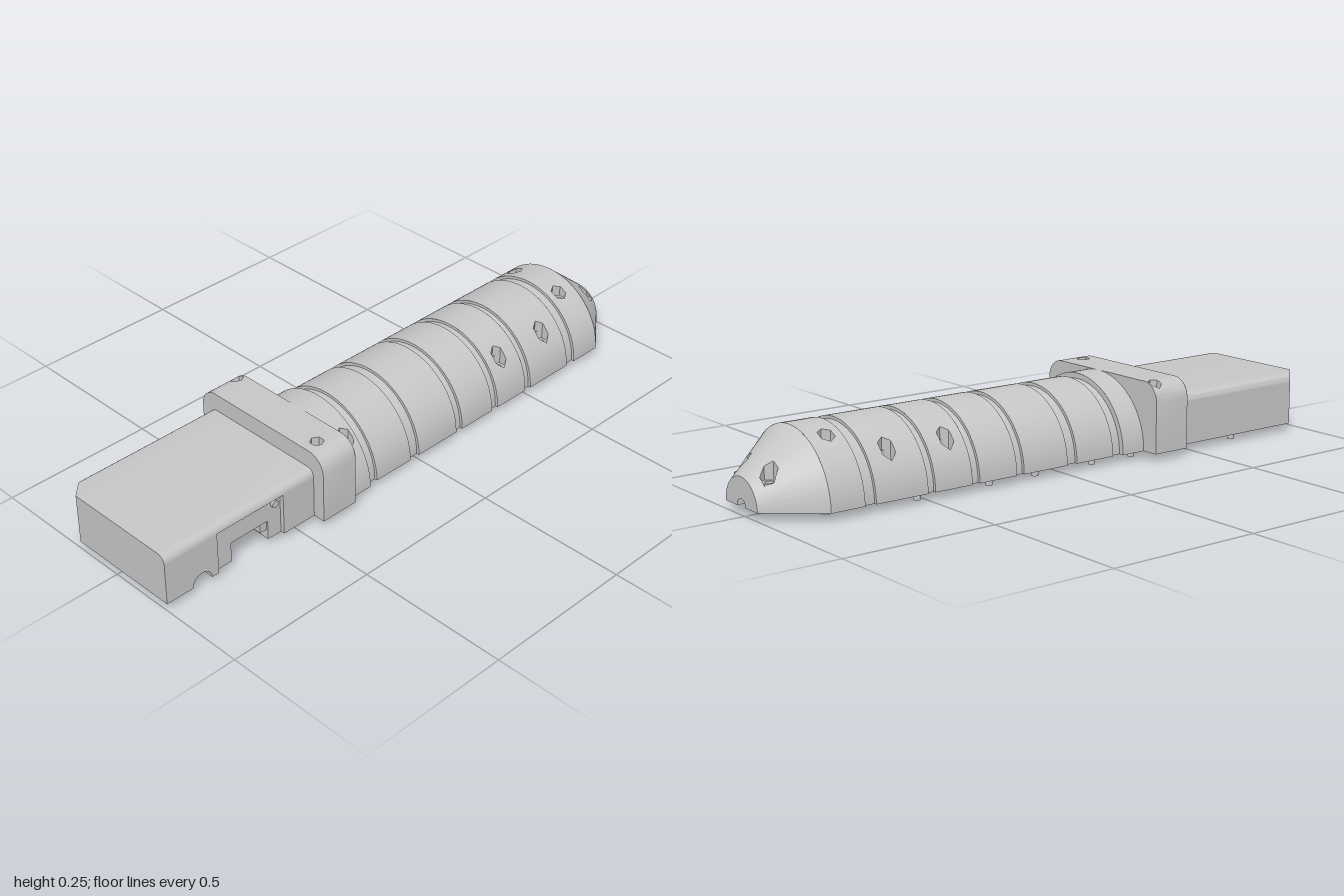
import * as THREE from 'three';
import { mergeGeometries, toCreasedNormals } from 'three/addons/utils/BufferGeometryUtils.js';

const Y0 = 0.0245, ZC = 0.017; // underside height and barrel axis
const lerp = THREE.MathUtils.lerp;

// surface through fn(s, t) -> [x, y, z]
function grid(ns, nt, fn) {
  const p = [];
  for (let i = 0; i < ns; i++) for (let j = 0; j < nt; j++) {
    const a = fn(i / ns, j / nt), b = fn((i + 1) / ns, j / nt);
    const c = fn((i + 1) / ns, (j + 1) / nt), d = fn(i / ns, (j + 1) / nt);
    p.push(...a, ...d, ...b, ...b, ...d, ...c);
  }
  const g = new THREE.BufferGeometry();
  g.setAttribute('position', new THREE.Float32BufferAttribute(p, 3));
  return g;
}

// one band of skin from x0 to x1 with vertical hexagonal screw pockets
function band(x0, x1, u0, u1, steps, point, toU, holes, margin, zc) {
  const out = [];
  let from = u0;
  const plain = (a, b) => out.push(grid(1, Math.max(1, Math.round(steps * (b - a) / (u1 - u0))),
    (s, t) => point(lerp(x0, x1, s), lerp(a, b, t), s)));
  for (const h of [...holes].sort((a, b) => a.z - b.z)) {
    const hex = (t) => {
      const a = t * Math.PI * 2, m = (a + Math.PI / 6) % (Math.PI / 3) - Math.PI / 6;
      const r = h.R * Math.cos(Math.PI / 6) / Math.cos(m);
      return [h.x + r * Math.cos(a), h.z + r * Math.sin(a)];
    };
    const edge = (t) => { const [x, z] = hex(t); return [x, toU(x, z)]; };
    const us = Array.from({ length: 24 }, (_, i) => edge(i / 24)[1]);
    const ua = Math.min(...us) - margin, ub = Math.max(...us) + margin, uc = toU(h.x, h.z);
    plain(from, ua);
    from = ub;
    const rim = (t) => {
      const c = Math.cos(t * Math.PI * 2), s = Math.sin(t * Math.PI * 2), m = Math.max(Math.abs(c), Math.abs(s));
      return [h.x + c / m * (c > 0 ? x1 - h.x : h.x - x0), uc + s / m * (s > 0 ? ub - uc : uc - ua)];
    };
    out.push(grid(4, 24, (k, t) => {
      const e = edge(t), o = rim(t);
      return point(lerp(e[0], o[0], k), lerp(e[1], o[1], k));
    }));
    // pocket wall, floor ring and through hole
    const ring = (t, y) => [h.x + 0.0135 * Math.cos(t * Math.PI * 2), y, zc + h.z + 0.0135 * Math.sin(t * Math.PI * 2)];
    const low = (t) => { const [x, z] = hex(t); return [x, h.floor, zc + z]; };
    const mix = (a, b, k) => a.map((v, i) => lerp(v, b[i], k));
    out.push(grid(1, 24, (k, t) => mix(low(t), point(...edge(t)), k)));
    out.push(grid(1, 24, (k, t) => mix(ring(t, h.floor), low(t), k)));
    out.push(grid(1, 24, (k, t) => ring(t, k ? h.floor : Y0)));
  }
  plain(from, u1);
  return out;
}

const poly = (pts) => new THREE.Shape(pts.map(([a, b]) => new THREE.Vector2(a, b)));
const circle = (x, z, r) => new THREE.Path().absarc(x, z, r, 0, Math.PI * 2, true);
const rect = (x0, x1, z0, z1) => poly([[x0, z0], [x1, z0], [x1, z1], [x0, z1]]);
// mirrored outline from [x, half width] pairs
const mirrored = (pts) => poly([...pts, ...[...pts].reverse().map(([x, w]) => [x, -w])]);

// plan shape (x, z) made into a slab standing on height y
function slab(shape, y, h, zc = 0) {
  const g = new THREE.ExtrudeGeometry(shape, { depth: h, bevelEnabled: false, curveSegments: 24 });
  return g.rotateX(Math.PI / 2).translate(0, y + h, zc);
}

export function createModel() {
  const group = new THREE.Group();
  const grey = new THREE.MeshStandardMaterial({ color: 0xc6c6c6, side: THREE.DoubleSide });
  grey.name = 'plain grey';
  const add = (name, g) => { const m = new THREE.Mesh(g, grey); m.name = name; group.add(m); };

  // barrel profile: collar, ribs between grooves, tapered nose
  const R = 0.2155, G = 0.206, TIP = 0.088;
  const profile = [[-0.31, 0.2235], [-0.225, 0.2235], [-0.225, G], [-0.19, G], [-0.19, R]];
  for (const [a, b] of [[-0.045, -0.008], [0.16, 0.187], [0.325, 0.352], [0.485, 0.51], [0.69, 0.727]])
    profile.push([a, R], [a, G], [b, G], [b, R]);
  profile.push([0.84, R], [1, TIP]);

  const hole = (x, z, floor, r = 0.026) => ({ x, z, floor, R: r });
  const holes = [hole(-0.26, 0.153, 0.15)];
  for (const s of [-1, 1])
    holes.push(hole(0.41, 0.16 * s, 0.125), hole(0.615, 0.16 * s, 0.125), hole(0.775, 0.095 * s, 0.19), hole(0.95, 0.072 * s, 0.103));

  const skin = [];
  for (let i = 0; i + 1 < profile.length; i++) {
    const [x0, r0] = profile[i], [x1, r1] = profile[i + 1];
    const rad = (x, s) => x1 === x0 ? lerp(r0, r1, s) : lerp(r0, r1, (x - x0) / (x1 - x0));
    const point = (x, u, s) => [x, Y0 + rad(x, s) * Math.cos(u), ZC + rad(x, s) * Math.sin(u)];
    const toU = (x, z) => Math.asin(THREE.MathUtils.clamp(z / rad(x, 0), -1, 1));
    skin.push(...band(x0, x1, -Math.PI / 2, Math.PI / 2, 48, point, toU,
      holes.filter((h) => h.x > x0 && h.x < x1), 0.06, ZC));
  }
  add('barrelShell', toCreasedNormals(mergeGeometries(skin), 0.5));

  // nose cap with a half-round outlet
  const cap = new THREE.Shape().absarc(0, 0, TIP, 0, Math.PI, false);
  cap.lineTo(-0.023, 0);
  cap.absarc(0, 0, 0.023, Math.PI, 0, true);
  add('noseCap', new THREE.ShapeGeometry(cap, 32).rotateY(Math.PI / 2).translate(1, Y0, ZC));

  // underside plate of the barrel with cavities
  const DEEP = 0.055;
  const under = mirrored([...profile, [1, 0.023], [0.9, 0.023]]);
  under.holes.push(rect(-0.2, 0.22, -0.138, 0.138),
    mirrored([[0.26, 0.115], [0.72, 0.115], [0.72, 0.07], [0.89, 0.07]]),
    ...holes.map((h) => circle(h.x, h.z, 0.0135)));
  const plate = slab(under, Y0, DEEP);
  const pos = plate.attributes.position;
  for (let i = 0; i < pos.count; i++) { // lean the outer rim inside the round shell
    const x = pos.getX(i), z = pos.getZ(i), r = x < 0.84 ? R : lerp(R, TIP, (x - 0.84) / 0.16);
    if (pos.getY(i) > Y0 + 0.02 && Math.abs(z) > 0.9 * r) pos.setZ(i, z * (x < 0.84 ? 0.95 : 0.76));
  }
  plate.translate(0, 0, ZC).computeVertexNormals();
  add('undersidePlate', plate);
  const inner = rect(-0.22, 0.73, -0.139, 0.139);
  inner.holes.push(circle(0.09, 0, 0.13));
  add('cavityFloor', slab(inner, Y0 + DEEP, 0.075, ZC));
  add('noseChannelFloor', slab(mirrored([[0.7, 0.072], [0.9, 0.072], [0.9, 0.025], [0.995, 0.025]]), Y0 + DEEP, 0.01, ZC));
  const seat = new THREE.Shape().absarc(0.09, 0, 0.132, 0, Math.PI * 2, false);
  seat.holes.push(circle(0.09, 0, 0.12));
  add('roundSeat', slab(seat, Y0 + 0.012, 0.115, ZC));

  // flange with rounded upper corners
  const FY = 0.188; // height where the corners start
  const top = (z) => {
    const d = Math.max(0, Math.abs(z) - 0.203);
    return FY + Math.sqrt(Math.max(0, 0.0036 - d * d));
  };
  const fHoles = [hole(-0.39, 0.185, 0.2, 0.022), hole(-0.335, -0.225, 0.19, 0.022)];
  const flange = band(-0.44, -0.31, -0.263, 0.263, 64, (x, z) => [x, top(z), z], (x, z) => z, fHoles, 0.01, 0);
  for (const s of [-1, 1])
    flange.push(grid(1, 1, (a, b) => [lerp(-0.44, -0.31, a), s > 0 ? lerp(FY, Y0, b) : lerp(Y0, FY, b), 0.263 * s]));
  add('flangeSkin', toCreasedNormals(mergeGeometries(flange), 0.5));
  const face = new THREE.Shape().moveTo(-0.263, Y0).lineTo(0.263, Y0);
  face.absarc(0.203, FY, 0.06, 0, Math.PI / 2, false);
  face.absarc(-0.203, FY, 0.06, Math.PI / 2, Math.PI, false);
  add('flangeFace', new THREE.ShapeGeometry(face, 16).rotateY(Math.PI / 2).translate(-0.31, 0, 0));
  add('flangeBack', new THREE.ShapeGeometry(face, 16).rotateY(-Math.PI / 2).translate(-0.44, 0, 0));
  const fBase = rect(-0.44, -0.31, -0.263, 0.263);
  fBase.holes.push(...fHoles.map((h) => circle(h.x, h.z, 0.0135)));
  add('flangeBase', slab(fBase, Y0, 0.04));

  // rear block: slices along z with a half-round channel and a notch open to the front
  const LID = 0.165, FRONT = 0.222, BACK = -0.225, RIM = 0.014;
  const slice = (name, z0, z1, r, x0, x1, h) => {
    const s = new THREE.Shape().moveTo(-1, Y0).lineTo(-0.87 - r, Y0);
    s.absarc(-0.87, Y0, r, Math.PI, 0, true);
    if (h) s.lineTo(x0, Y0).lineTo(x0, h).lineTo(x1, h).lineTo(x1, Y0);
    s.lineTo(-0.44, Y0).lineTo(-0.44, LID).lineTo(-1, LID);
    add(name, new THREE.ExtrudeGeometry(s, { depth: z1 - z0, bevelEnabled: false }).translate(0, 0, z0));
  };
  add('blockBack', slab(poly([[-1, -0.165], [-0.94, BACK], [-0.44, BACK], [-0.44, -0.165]]), Y0, LID - Y0));
  slice('blockMiddle', -0.165, 0, 0.018);
  slice('blockNotchEnd', 0, 0.1, 0.018, -0.75, -0.61, 0.09);
  slice('blockFront', 0.1, FRONT - RIM, 0.035, -0.75, -0.61, 0.09);
  slice('blockFrontRim', FRONT - RIM, FRONT, 0.035, -0.81, -0.56, LID - 0.001);

  // block lid: rounded long edges, one corner cut off
  const lidProfile = [], LR = 0.025;
  const corner = (z, from) => {
    for (let i = 0; i <= 6; i++) {
      const a = (from + i / 6) * Math.PI / 2;
      lidProfile.push([z + LR * Math.cos(a), LID + LR * Math.sin(a)]);
    }
  };
  corner(FRONT - LR, 0);
  lidProfile.push([-0.165, LID + LR]);
  corner(BACK + LR, 1);
  const n = lidProfile.length - 1;
  const endX = (z) => -1 + Math.max(0, -0.165 - z);
  const at = (t) => lidProfile[Math.round(t * n)];
  const lidTop = grid(1, n, (s, t) => { const [z, y] = at(t); return [lerp(-0.43, endX(z), s), y, z]; });
  const lidEnd = grid(1, n, (s, t) => { const [z, y] = at(t); return [endX(z), lerp(y, LID, s), z]; });
  add('blockLid', toCreasedNormals(mergeGeometries([lidTop, lidEnd]), 0.6));
  add('blockPost', new THREE.CylinderGeometry(0.012, 0.012, 0.01, 16).rotateX(Math.PI / 2).translate(-0.585, 0.142, FRONT - 0.01));
  add('blockTab', new THREE.BoxGeometry(0.025, 0.03, 0.05).translate(-0.625, 0.075, 0.18));

  // locating pegs
  for (const [x, ...zs] of [[-0.71, -0.185], [-0.3, 0.2, -0.155], [-0.14, 0.19, -0.155], [0.085, 0.19, -0.155],
    [0.26, 0.19, -0.155], [0.52, 0.19, -0.155], [0.81, 0.153, -0.12]])
    for (const z of zs)
      add('peg', new THREE.CylinderGeometry(0.011, 0.011, 0.04, 16).translate(x, 0.02, z));
  return group;
}
